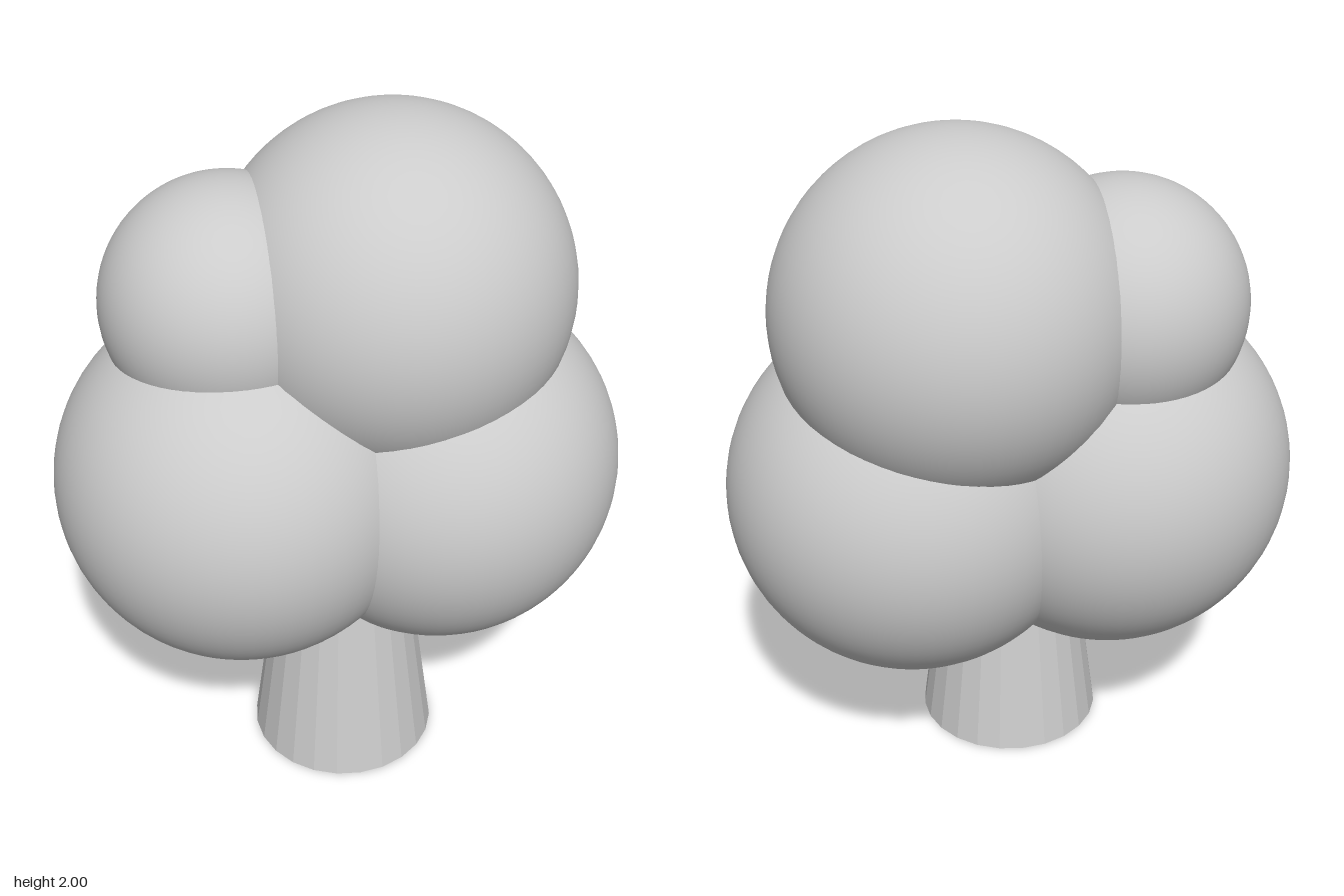
import * as THREE from 'three';

export function createModel() {
  const tree = new THREE.Group();
  tree.name = 'tree';

  // Overlapping round clumps of leaves: name, centre x y z, radius
  const leafMaterial = new THREE.MeshStandardMaterial({ color: 0xcccccc });
  const clumps = [
    ['lowerRightFoliage', -0.295, 0.935, 0.025, 0.55],
    ['lowerLeftFoliage', 0.292, 0.908, 0.006, 0.549],
    ['topFoliage', 0.16, 1.475, -0.052, 0.525],
    ['smallFoliage', -0.307, 1.477, -0.048, 0.363],
  ];
  for (const [name, x, y, z, radius] of clumps) {
    const clump = new THREE.Mesh(new THREE.SphereGeometry(radius, 64, 40), leafMaterial);
    clump.name = name;
    clump.position.set(x, y, z);
    tree.add(clump);
  }

  // Tapered, faceted trunk, open at the bottom and buried in the leaves at the top
  const height = 0.75;
  const trunk = new THREE.Mesh(
    new THREE.CylinderGeometry(0.182, 0.282, height, 24, 1, true),
    new THREE.MeshStandardMaterial({ color: 0xcccccc, flatShading: true, side: THREE.DoubleSide })
  );
  trunk.name = 'trunk';
  trunk.position.set(-0.013, height / 2, 0.122);
  tree.add(trunk);

  return tree;
}
